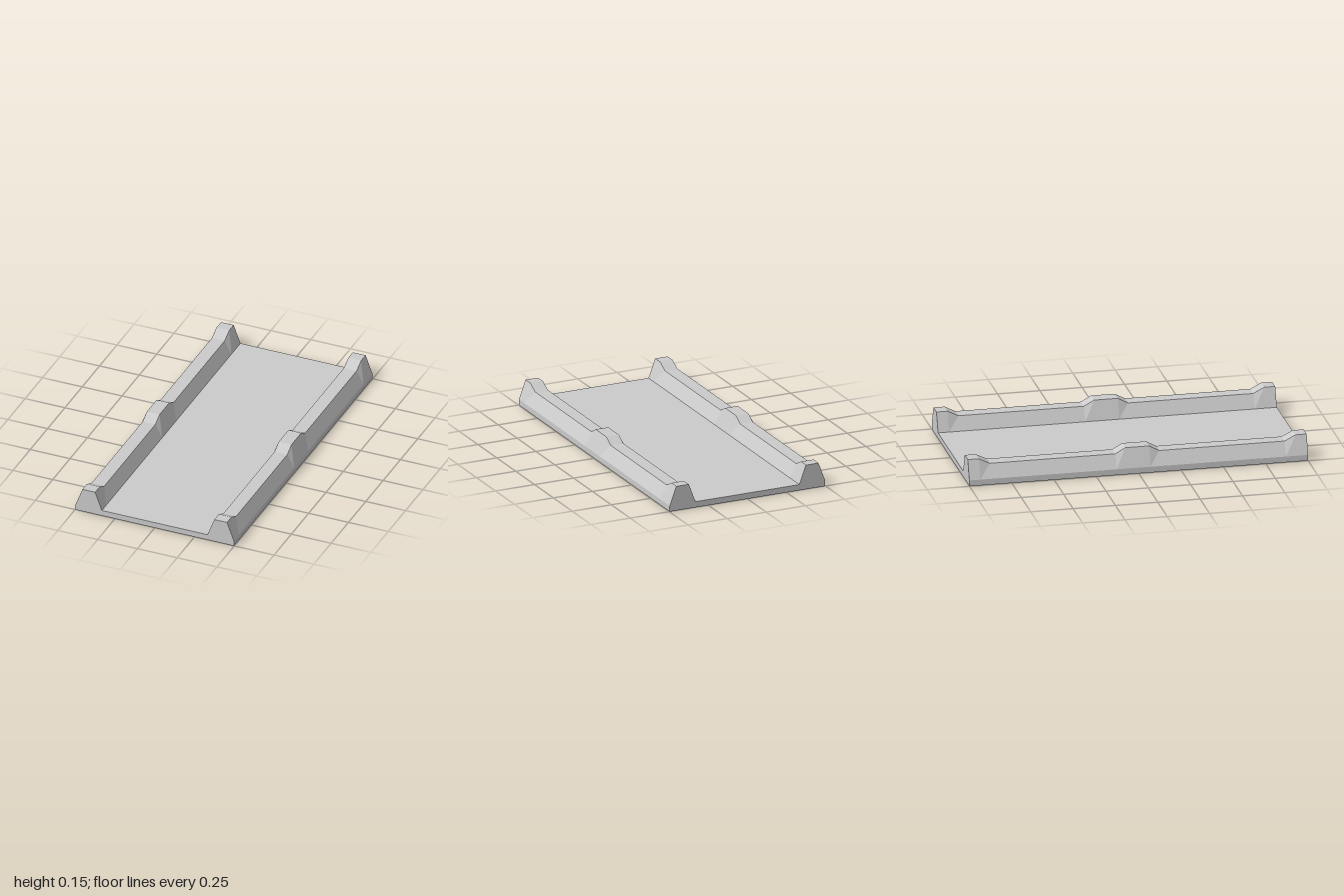
import * as THREE from 'three';

const BASE_H = 0.035;
const HIGH = 0.148;
const LOW = 0.115;
const HALF_W = 0.497;

// Rail top height along the length: raised at both ends and in the middle
const STATIONS = [
  [-1, HIGH], [-0.935, HIGH], [-0.87, LOW], [-0.13, LOW], [-0.07, HIGH],
  [0.07, HIGH], [0.13, LOW], [0.87, LOW], [0.935, HIGH], [1, HIGH],
];

// Box with tapered sides whose top follows the stations
function railGeometry() {
  const n = STATIONS.length - 1;
  const box = new THREE.BoxGeometry(1, 1, n, 1, 1, n);
  const p = box.attributes.position;
  for (let i = 0; i < p.count; i++) {
    const [z, top] = STATIONS[Math.round(p.getZ(i) + n / 2)];
    const isTop = p.getY(i) > 0;
    const halfWidth = isTop ? 0.04 : 0.0825;
    p.setXYZ(i, Math.sign(p.getX(i)) * halfWidth, isTop ? top : BASE_H, z);
  }
  const geometry = box.toNonIndexed();
  geometry.computeVertexNormals();
  return geometry;
}

export function createModel() {
  const group = new THREE.Group();
  group.name = 'channelTrack';
  const material = new THREE.MeshStandardMaterial({ color: 0xcccccc, flatShading: true });

  // Flat floor slab under both rails
  const floor = new THREE.Mesh(new THREE.BoxGeometry(HALF_W * 2, BASE_H, 2), material);
  floor.name = 'floor';
  floor.position.y = BASE_H / 2;
  group.add(floor);

  // Side rails
  const rail = railGeometry();
  for (const [name, side] of [['leftRail', 1], ['rightRail', -1]]) {
    const mesh = new THREE.Mesh(rail, material);
    mesh.name = name;
    mesh.position.x = side * (HALF_W - 0.0825);
    group.add(mesh);
  }
  return group;
}
